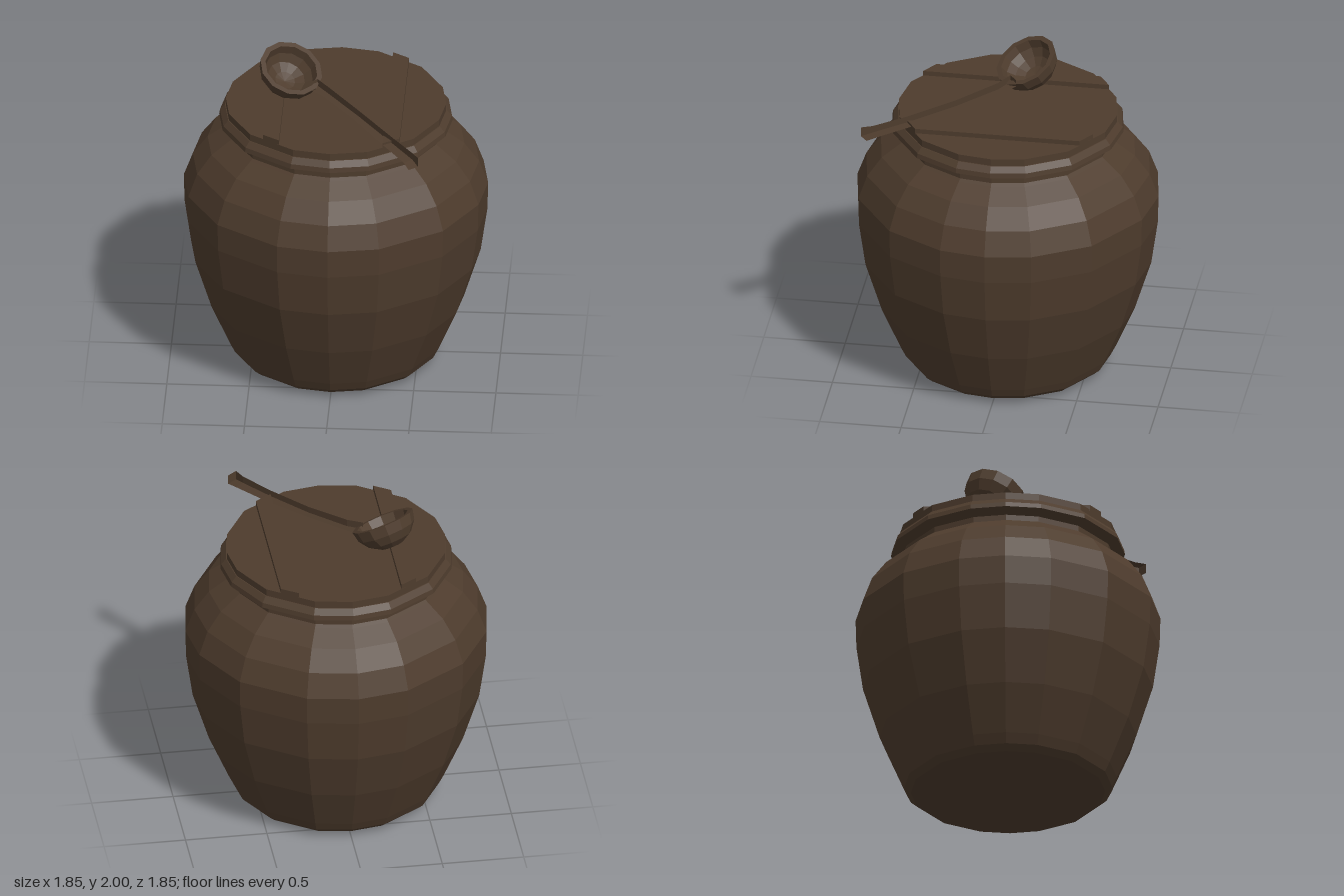
import * as THREE from 'three';

const wood = new THREE.MeshStandardMaterial({ color: 0x4e3c2d, flatShading: true });
wood.name = 'dark brown';

const points = (list) => list.map(([x, y]) => new THREE.Vector2(x, y));

function part(name, geometry, parent) {
  const mesh = new THREE.Mesh(geometry, wood);
  mesh.name = name;
  parent.add(mesh);
  return mesh;
}

// Sixteen-sided turned shape whose facets are slightly uneven, mirrored on both axes
function turned(profile) {
  const g = new THREE.LatheGeometry(points(profile), 16);
  const quarter = [0, 19.6, 47.8, 72.4];
  const p = g.attributes.position;
  const rows = profile.length;
  for (let i = 0; i < p.count; i++) {
    const k = Math.floor(i / rows) % 16;
    const q = k % 8;
    let deg = q <= 4 ? (q === 4 ? 90 : quarter[q]) : 180 - quarter[8 - q];
    if (k >= 8) deg += 180;
    const a = THREE.MathUtils.degToRad(deg);
    const r = profile[i % rows][0];
    p.setX(i, r * Math.sin(a));
    p.setZ(i, r * Math.cos(a));
  }
  return g;
}

// Square bar lofted through sections { at: [x, y, z], w, h }
function bar(sections, sideways) {
  const pos = [], idx = [];
  sections.forEach(({ at, w, h }) => {
    for (const [s, t] of [[-1, -1], [1, -1], [1, 1], [-1, 1]]) {
      pos.push(at[0] + sideways.x * s * w / 2, at[1] + t * h / 2, at[2] + sideways.z * s * w / 2);
    }
  });
  const n = sections.length;
  for (let i = 0; i < n - 1; i++) {
    for (let j = 0; j < 4; j++) {
      const a = i * 4 + j, b = i * 4 + (j + 1) % 4;
      idx.push(a, b, b + 4, a, b + 4, a + 4);
    }
  }
  const e = (n - 1) * 4;
  idx.push(0, 2, 1, 0, 3, 2, e, e + 1, e + 2, e, e + 2, e + 3);
  const g = new THREE.BufferGeometry();
  g.setAttribute('position', new THREE.Float32BufferAttribute(pos, 3));
  g.setIndex(idx);
  g.computeVertexNormals();
  return g;
}

export function createModel() {
  const model = new THREE.Group();
  model.name = 'lidded jar with ladle';

  // Jar body, neck and flared rim
  part('jar', turned([
    [0, 0], [0.49, 0.005], [0.59, 0.025], [0.63, 0.06], [0.66, 0.12], [0.78, 0.4],
    [0.88, 0.72], [0.92, 1.0], [0.925, 1.18], [0.87, 1.33], [0.78, 1.45], [0.67, 1.53],
    [0.65, 1.545], [0.65, 1.58], [0.71, 1.61], [0.705, 1.64], [0.675, 1.675], [0.6, 1.68],
  ]), model);

  // Flat lid
  const lid = new THREE.Group();
  lid.name = 'lid';
  model.add(lid);
  part('lidDisc', turned([[0, 1.67], [0.67, 1.67], [0.67, 1.72], [0, 1.72]]), lid);

  // Two battens with ends cut to follow the lid
  for (const side of [-1, 1]) {
    const inner = side * 0.315, outer = side * 0.415;
    const outline = [[inner, -0.57], [outer, -0.505], [outer, 0.505], [inner, 0.57]];
    const g = new THREE.ExtrudeGeometry(new THREE.Shape(points(outline)), { depth: 0.04, bevelEnabled: false });
    g.rotateX(-Math.PI / 2);
    part(side < 0 ? 'rightBatten' : 'leftBatten', g, lid).position.y = 1.71;
  }

  // Ladle resting on the lid
  const ladle = new THREE.Group();
  ladle.name = 'ladle';
  model.add(ladle);

  // Hollow bowl, tipped towards the handle
  const profile = [];
  const arc = (r, depth, from, to) => {
    for (let i = 0; i <= 4; i++) {
      const a = (from + (to - from) * i / 4) * Math.PI / 2;
      profile.push([r * Math.sin(a), -depth * Math.cos(a)]);
    }
  };
  arc(0.197, 0.175, 0, 1);
  arc(0.165, 0.14, 1, 0);
  const along = new THREE.Vector3(0.63, 0, 0.777).normalize();
  const bowl = part('ladleBowl', new THREE.LatheGeometry(points(profile), 12), ladle);
  bowl.position.set(-0.275, 1.9, -0.065);
  bowl.quaternion.setFromAxisAngle(new THREE.Vector3(along.z, 0, -along.x), 0.52);

  // Handle, widening towards its end
  const sideways = new THREE.Vector3(along.z, 0, -along.x).negate();
  part('ladleHandle', bar([
    { at: [-0.14, 1.825, -0.01], w: 0.07, h: 0.045 },
    { at: [-0.06, 1.815, 0.06], w: 0.045, h: 0.045 },
    { at: [0.14, 1.785, 0.29], w: 0.045, h: 0.04 },
    { at: [0.34, 1.757, 0.55], w: 0.06, h: 0.04 },
    { at: [0.48, 1.747, 0.74], w: 0.065, h: 0.045 },
    { at: [0.515, 1.742, 0.805], w: 0.07, h: 0.06 },
  ], sideways), ladle);

  return model;
}
